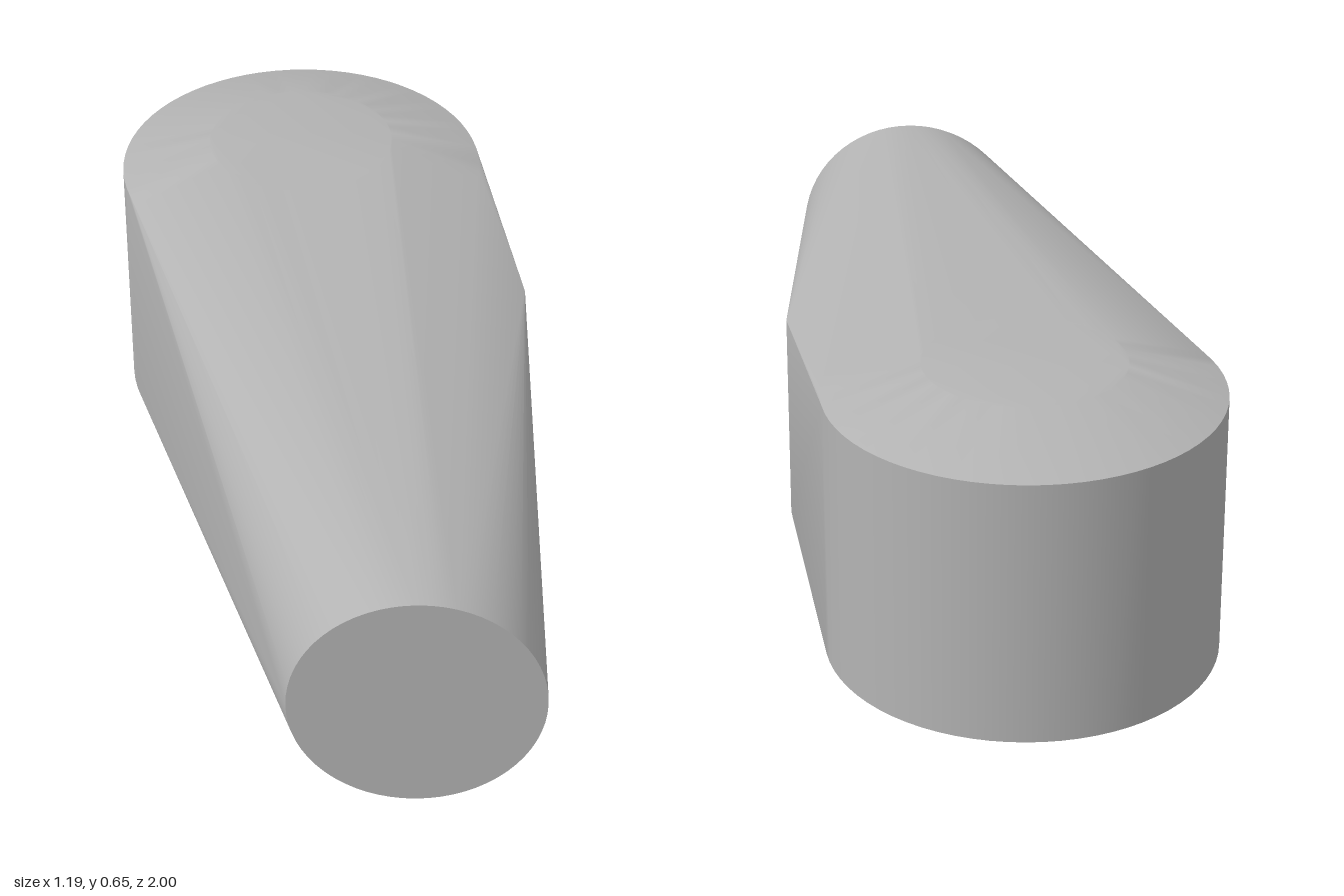
import * as THREE from 'three';
import { ConvexGeometry } from 'three/addons/geometries/ConvexGeometry.js';
import { toCreasedNormals } from 'three/addons/utils/BufferGeometryUtils.js';

// Ring of points around a centre, spanned by two axis vectors
function ring(center, u, v, radius, count) {
  return Array.from({ length: count }, (_, i) => {
    const a = (i / count) * Math.PI * 2;
    return center.clone()
      .addScaledVector(u, Math.cos(a) * radius)
      .addScaledVector(v, Math.sin(a) * radius);
  });
}

export function createModel() {
  const gray = new THREE.MeshStandardMaterial({ color: 0xb3b3b3 });
  gray.name = 'plain gray';

  const X = new THREE.Vector3(1, 0, 0);
  const Y = new THREE.Vector3(0, 1, 0);
  const Z = new THREE.Vector3(0, 0, 1);
  const level = (y) => new THREE.Vector3(0.175, y, -0.585);
  const across = new THREE.Vector3(0.868, 0, 0.496);

  // One smooth skin stretched over the round head, the tilted end and a side ridge
  const points = [
    ...ring(level(0), X, Z, 0.21, 48),       // underside disc
    ...ring(level(0.012), X, Z, 0.415, 72),  // lower rim of head
    ...ring(level(0.59), X, Z, 0.415, 72),   // upper rim of head
    ...ring(level(0.655), X, Z, 0.212, 48),  // top disc
    ...ring(new THREE.Vector3(-0.371, 0.301, 0.866), across, Y, 0.264, 64), // end disc
    new THREE.Vector3(0.392, 0.07, 0.05),    // side ridge
    new THREE.Vector3(0.392, 0.54, 0.05),
  ];

  const body = new THREE.Mesh(toCreasedNormals(new ConvexGeometry(points), 0.5), gray);
  body.name = 'taperedBody';

  const model = new THREE.Group();
  model.name = 'taperedArm';
  model.add(body);
  return model;
}
